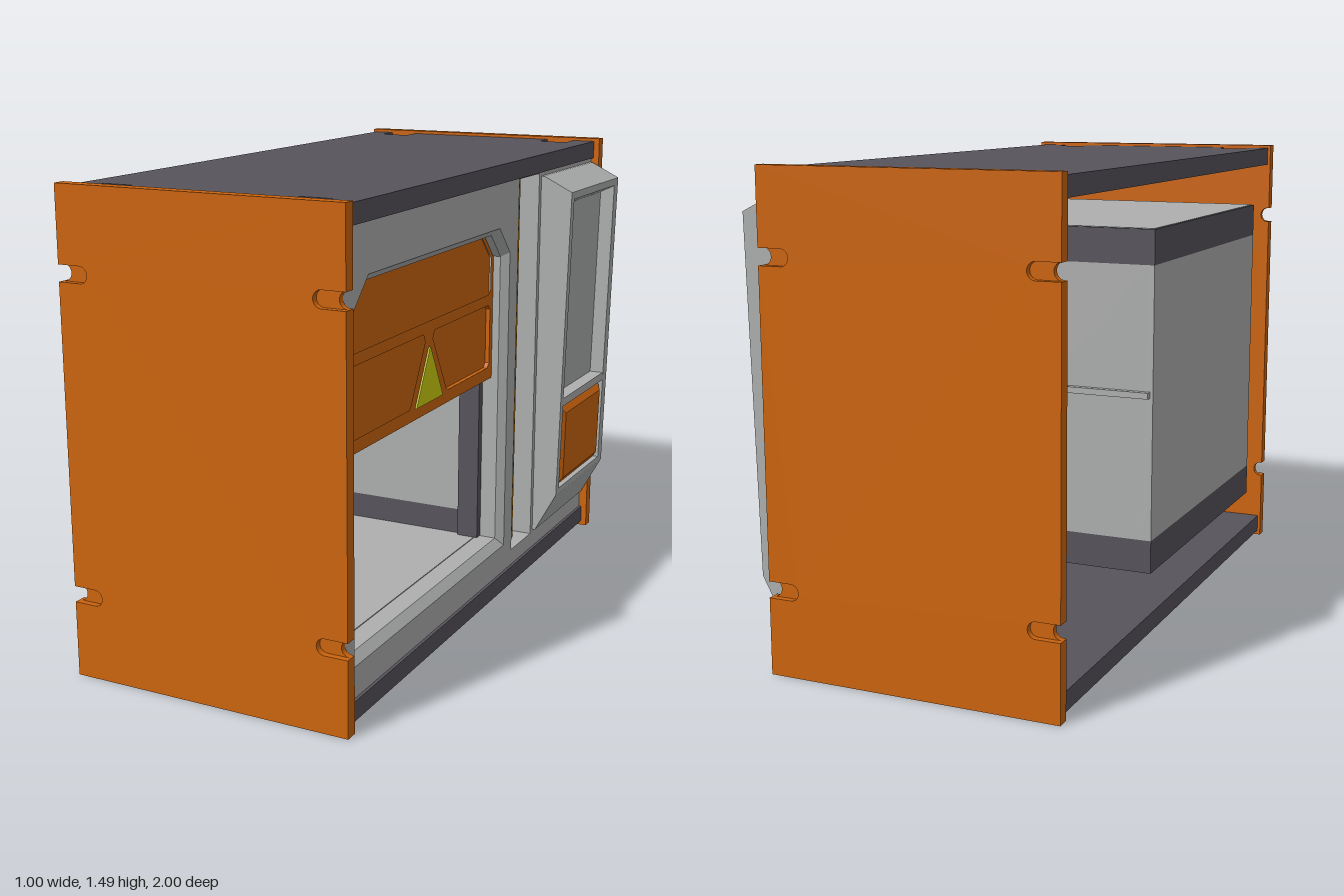
import * as THREE from 'three';

const material = (name, color, side = THREE.FrontSide) => {
  const m = new THREE.MeshStandardMaterial({ color, side });
  m.name = name;
  return m;
};

export function createModel() {
  const root = new THREE.Group();
  root.name = 'machineCabinet';
  const orange = material('orange', 0xcc640e);
  const dark = material('darkGrey', 0x57535c);
  const grey = material('lightGrey', 0xadafae, THREE.DoubleSide);
  const amber = material('amber', 0xcf860e);
  const yellow = material('yellow', 0xcfd012);

  const add = (name, geometry, mat, parent = root) => {
    const mesh = new THREE.Mesh(geometry, mat);
    mesh.name = name;
    parent.add(mesh);
    return mesh;
  };
  // Box given by its limits on each axis
  const box = (name, mat, [x0, x1], [y0, y1], [z0, z1]) => {
    const g = new THREE.BoxGeometry(x1 - x0, y1 - y0, z1 - z0);
    g.translate((x0 + x1) / 2, (y0 + y1) / 2, (z0 + z1) / 2);
    return add(name, g, mat);
  };
  const extrude = (shape, depth) =>
    new THREE.ExtrudeGeometry(shape, { depth, bevelEnabled: false, curveSegments: 8 });
  const polygon = pts => new THREE.Shape(pts.map(p => new THREE.Vector2(...p)));
  // Panel facing +x, outlined by [z, y] points
  const flip = pts => pts.map(([z, y]) => [-z, y]);
  const facing = (name, mat, pts, holes, x0, x1) => {
    const shape = polygon(flip(pts));
    shape.holes = holes.map(h => polygon(flip(h)));
    return add(name, extrude(shape, x1 - x0).rotateY(Math.PI / 2).translate(x0, 0, 0), mat);
  };
  const rect = (z0, z1, y0, y1) => [[z0, y0], [z1, y0], [z1, y1], [z0, y1]];
  const chamfered = (z0, z1, y0, y1, c) =>
    [[z0, y0], [z1, y0], [z1, y1 - c], [z1 - c, y1], [z0 + c, y1], [z0, y1 - c]];
  // Band of quads joining [z, y] loops placed at successive x
  const band = (name, mat, loops) => {
    const v = [];
    for (let k = 0; k + 1 < loops.length; k++) {
      const [xa, a] = loops[k], [xb, b] = loops[k + 1];
      a.forEach((p, i) => {
        const j = (i + 1) % a.length;
        const A = [xa, p[1], p[0]], B = [xa, a[j][1], a[j][0]];
        const C = [xb, b[j][1], b[j][0]], D = [xb, b[i][1], b[i][0]];
        v.push(...A, ...B, ...C, ...A, ...C, ...D);
      });
    }
    const g = new THREE.BufferGeometry();
    g.setAttribute('position', new THREE.Float32BufferAttribute(v, 3));
    g.computeVertexNormals();
    return add(name, g, mat);
  };

  // End plates: slotted outer skin over an inner skin with small edge nicks
  const plateShape = d => {
    const s = new THREE.Shape(), r = 0.025, L = -0.5, R = 0.42;
    s.moveTo(L, 0).lineTo(R, 0);
    for (const y of [0.26, 1.23]) {
      s.lineTo(R, y - r).lineTo(R - d + r, y - r);
      s.absarc(R - d + r, y, r, -Math.PI / 2, Math.PI / 2, true);
      s.lineTo(R, y + r);
    }
    s.lineTo(R, 1.485).lineTo(L, 1.485);
    for (const y of [1.23, 0.26]) {
      s.lineTo(L, y + r).lineTo(L + d - r, y + r);
      s.absarc(L + d - r, y, r, Math.PI / 2, -Math.PI / 2, true);
      s.lineTo(L, y - r);
    }
    s.closePath();
    return s;
  };
  for (const [side, outerZ, innerZ] of [['front', 0.98, 0.96], ['back', -1, -0.98]]) {
    add(side + 'PlateOuter', extrude(plateShape(0.098), 0.02).translate(0, 0, outerZ), orange);
    add(side + 'PlateInner', extrude(plateShape(0.03), 0.02).translate(0, 0, innerZ), orange);
  }

  // Top and bottom decks with shallow notches beside the end plates
  const notched = polygon([
    [-0.49, -0.96], [-0.42, -0.96], [-0.42, -0.88], [-0.32, -0.88], [-0.32, -0.96],
    [0.22, -0.96], [0.22, -0.88], [0.32, -0.88], [0.32, -0.96], [0.4, -0.96],
    [0.4, 0.96], [0.32, 0.96], [0.32, 0.88], [0.22, 0.88], [0.22, 0.96],
    [-0.32, 0.96], [-0.32, 0.88], [-0.42, 0.88], [-0.42, 0.96], [-0.49, 0.96]]);
  for (const [name, y, skinY] of [['top', 1.415, 1.445], ['bottom', 0.045, 0.015]]) {
    box(name + 'Deck', dark, [-0.49, 0.4], [y, y + 0.03], [-0.96, 0.96]);
    add(name + 'DeckSkin', extrude(notched, 0.03).rotateX(-Math.PI / 2).translate(0, skinY, 0), dark);
  }

  // Fascia with window and column openings
  const win = chamfered(-0.19, 0.905, 0.17, 1.27, 0.09);
  const winInner = chamfered(-0.17, 0.882, 0.197, 1.247, 0.08);
  const slot = rect(-0.44, -0.26, 0.13, 1.41);
  facing('fascia', grey, rect(-0.96, 0.96, 0.075, 1.415), [win, slot], 0.36, 0.39);
  band('windowFrame', grey, [[0.39, win], [0.365, winInner], [0.3, winInner]]);
  band('columnRecess', grey, [[0.39, slot], [0.26, slot]]);

  // Amber light column
  const column = new THREE.CylinderGeometry(0.09, 0.09, 1.28, 32);
  column.scale(0.8, 1, 1).translate(0.278, 0.77, -0.35);
  add('lightColumn', column, amber);

  // Hollow chamber: floor, roof and three walls banded dark, light, dark
  const wall = 0.025;
  box('chamberFloor', grey, [-0.455, 0.3], [0.18, 0.2], [-0.175, 0.895]);
  box('chamberRoof', grey, [-0.455, 0.3], [1.255, 1.272], [-0.175, 0.895]);
  for (const [name, mat, y] of [['lowerBand', dark, [0.178, 0.285]],
    ['middleBand', grey, [0.285, 1.16]], ['upperBand', dark, [1.16, 1.27]]]) {
    box(name + 'Rear', mat, [-0.46, -0.46 + wall], y, [-0.18, 0.9]);
    box(name + 'SideBack', mat, [-0.46 + wall, 0.305], y, [-0.18, -0.18 + wall]);
    box(name + 'SideFront', mat, [-0.46 + wall, 0.305], y, [0.9 - wall, 0.9]);
  }
  // Door posts inside, guide rails outside
  for (const [n, z, rail] of [['back', [-0.166, -0.138], [-0.2, -0.18]], ['front', [0.852, 0.88], [0.9, 0.92]]]) {
    box(n + 'DoorPost', dark, [0.24, 0.312], [0.2, 1.2], z);
    box(n + 'GuideRail', grey, [-0.45, 0.36], [0.745, 0.765], rail);
  }

  // Raised door with sunken panels
  const doorOutline = chamfered(-0.167, 0.88, 0.76, 1.245, 0.08);
  facing('doorBack', orange, doorOutline, [], 0.313, 0.328);
  facing('doorFront', orange, doorOutline, [
    [[-0.145, 1.06], [-0.13, 1.045], [0.86, 1.045], [0.873, 1.06], [0.873, 1.165],
      [0.8, 1.238], [-0.07, 1.238], [-0.145, 1.165]],
    [[0.46, 0.8], [0.858, 0.8], [0.873, 0.815], [0.873, 0.995], [0.858, 1.01],
      [0.365, 1.01], [0.353, 0.985], [0.45, 0.81]],
    [[0.185, 0.8], [-0.13, 0.8], [-0.145, 0.815], [-0.145, 0.995], [-0.13, 1.01],
      [0.285, 1.01], [0.297, 0.985], [0.197, 0.81]],
  ], 0.328, 0.342);
  facing('warningTriangle', yellow,
    [[0.23, 0.795], [0.42, 0.795], [0.328, 0.965], [0.322, 0.965]], [], 0.342, 0.347);

  // Control console: two cheeks and a recessed middle
  const face = y => 0.475 + (y - 0.28) * 0.0234;
  const cheek = polygon([[0.385, 0.14], [0.4, 0.14], [0.475, 0.28], [0.5, 1.35], [0.4, 1.4], [0.385, 1.4]]);
  const middle = polygon([[0.385, 0.14], [0.4, 0.14], [0.475, 0.28], [face(0.3), 0.3],
    [face(0.3) - 0.05, 0.3], [face(1.3) - 0.05, 1.3], [face(1.325), 1.325],
    [0.5, 1.35], [0.4, 1.4], [0.385, 1.4]]);
  for (const [name, shape, z0, z1] of [['consoleFrontCheek', cheek, -0.487, -0.46],
    ['consoleMiddle', middle, -0.91, -0.487], ['consoleBackCheek', cheek, -0.95, -0.91]])
    add(name, extrude(shape, z1 - z0).translate(0, 0, z0), grey);
  box('consoleLedge', grey, [0.43, 0.482], [0.6, 0.628], [-0.91, -0.487]);

  // Bevelled keypad block
  const pad = new THREE.ExtrudeGeometry(polygon([[-0.18, -0.12], [0.18, -0.12], [0.18, 0.12], [-0.18, 0.12]]),
    { depth: 0.02, bevelEnabled: true, bevelSegments: 1, bevelSize: 0.03, bevelThickness: 0.022 });
  const keypad = add('keypad', pad.rotateY(Math.PI / 2), orange);
  keypad.position.set(face(0.45) - 0.04, 0.45, -0.698);
  keypad.rotation.z = -0.0234;

  return root;
}
